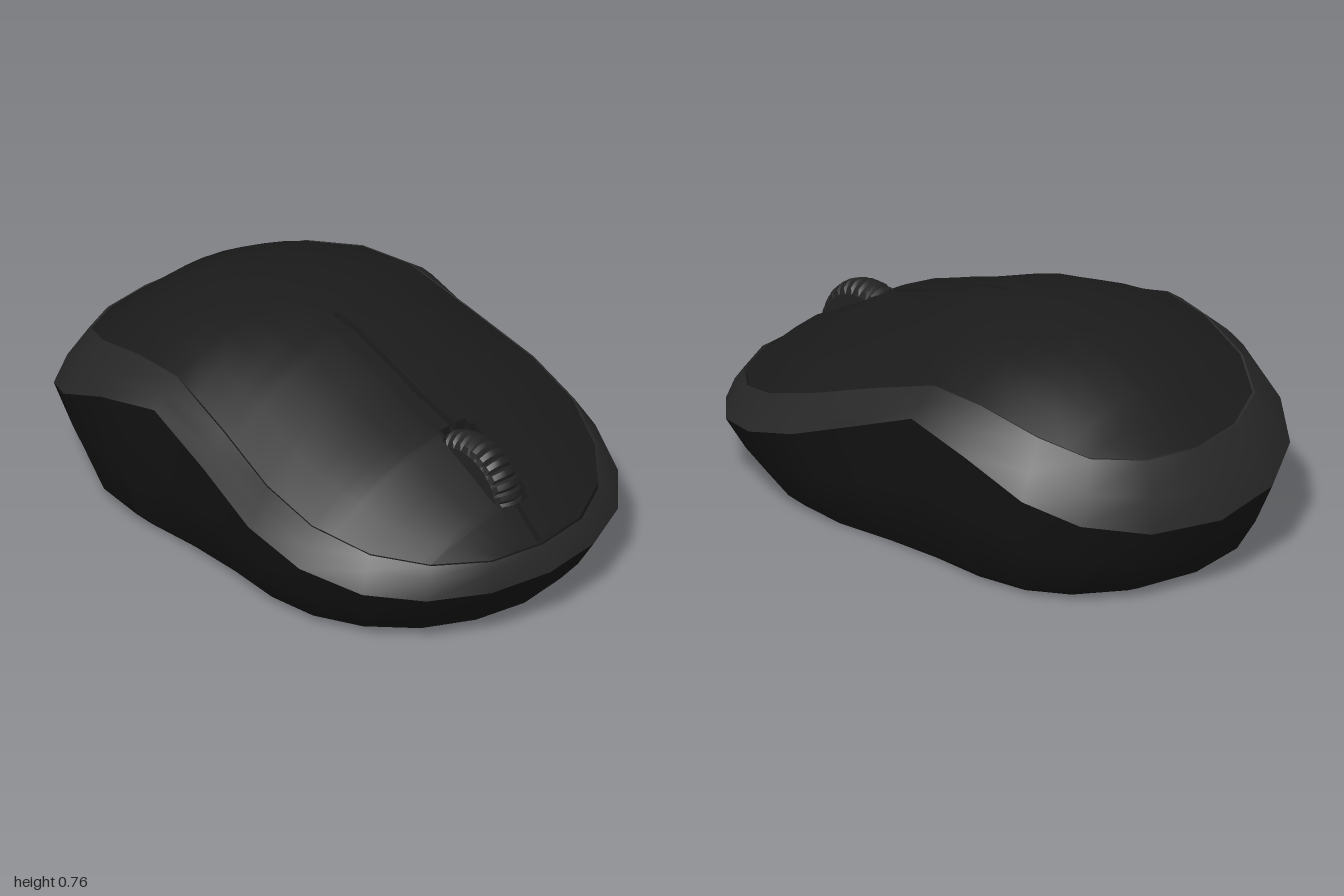
import * as THREE from 'three';
import { toCreasedNormals } from 'three/addons/utils/BufferGeometryUtils.js';

// Half outlines from the front tip to the back tip: [x, y, z]
const OUTER = [[0, .2, 1], [.23, .2, .965], [.43, .21, .87], [.575, .23, .72], [.665, .28, .52],
  [.682, .35, .3], [.645, .45, .05], [.625, .555, -.2], [.625, .5, -.45], [.58, .4, -.67],
  [.47, .33, -.83], [.27, .28, -.955], [0, .26, -1]];
const INNER = [[0, .29, .965], [.2, .295, .94], [.38, .31, .84], [.51, .34, .69], [.59, .4, .5],
  [.6, .47, .3], [.56, .56, .05], [.525, .64, -.2], [.505, .63, -.4], [.46, .575, -.62],
  [.37, .52, -.77], [.2, .49, -.86], [0, .48, -.89]];
// Height of the top along the centre line: [z, y]
const CREST = [[.965, .29], [.84, .4], [.56, .56], [.4, .61], [.27, .66], [.1, .73], [-.1, .765],
  [-.32, .76], [-.52, .73], [-.7, .64], [-.89, .48]];
const INSET = 0.99;

const material = (color, side = THREE.FrontSide) =>
  new THREE.MeshStandardMaterial({ color, roughness: 0.7, side });

// Piecewise linear lookup in a table sorted by falling z
function lookup(table, zi, vi, z) {
  if (z >= table[0][zi]) return table[0][vi];
  for (let i = 1; i < table.length; i++) {
    const a = table[i - 1], b = table[i];
    if (z >= b[zi]) return THREE.MathUtils.lerp(a[vi], b[vi], (a[zi] - z) / (a[zi] - b[zi]));
  }
  return table[table.length - 1][vi];
}

// Skin rows of points; closed rows wrap round
function skin(rows, closed, crease) {
  const n = rows[0].length, index = [];
  for (let i = 0; i < rows.length - 1; i++) {
    for (let j = 0; j < (closed ? n : n - 1); j++) {
      const k = (j + 1) % n;
      const a = i * n + j, b = i * n + k, c = (i + 1) * n + k, d = (i + 1) * n + j;
      index.push(a, b, c, a, c, d);
    }
  }
  const geo = new THREE.BufferGeometry();
  geo.setAttribute('position', new THREE.Float32BufferAttribute(rows.flat(2), 3));
  geo.setIndex(index);
  return toCreasedNormals(geo, crease);
}

// Full ring from a half outline, each point passed through a rule
function ring(half, rule) {
  const right = half.map(rule);
  const left = right.slice(1, -1).reverse().map(([x, y, z]) => [-x, y, z]);
  return [...right, ...left];
}

function add(group, name, geo, mat) {
  const mesh = new THREE.Mesh(geo, mat);
  mesh.name = name;
  group.add(mesh);
  return mesh;
}

// Lower shell with flat underside and chamfered foot
function lowerShell() {
  return skin([
    ring(OUTER, () => [0, 0, 0]),
    ring(OUTER, ([x, , z]) => [x * .765, 0, z * .81]),
    ring(OUTER, ([x, , z]) => [x * .82, .035, z * .88]),
    ring(OUTER, ([x, y, z]) => [x * .91, .035 + (y - .035) * .45, z * .945]),
    ring(OUTER, (p) => p),
  ], true, 0.6);
}

// Sloping side band, ending in a groove under the top panel
function sideBand() {
  const groove = (z) => .022 * THREE.MathUtils.clamp((z + .1) / .2, 0, 1);
  return skin([
    ring(OUTER, (p) => p),
    ring(OUTER, ([x, y, z], i) => {
      const [u, v, w] = INNER[i], s = z < 0 ? 1.015 : 1;
      return [(x + u) / 2 * s, (y + v) / 2 + (z > .7 ? .015 : 0), (z + w) / 2 * s];
    }),
    ring(INNER, (p) => p),
    ring(INNER, ([x, y, z]) => [x * INSET, y - groove(z), z * INSET]),
    ring(INNER, ([x, y, z]) => [x * .93, y - groove(z) - .02, z * .93]),
  ], true, 0.5);
}

// Domed top panel with the button slit and wheel well pressed in
function topPanel() {
  const zs = new Set([...INNER.map((p) => p[2] * INSET), ...CREST.map((p) => p[0] * INSET),
    .948, .944, .841, .836, .816, .811, .574, .569, .548, .543, .003, -.003]);
  const stations = [...zs].sort((a, b) => b - a);
  const fixed = [0, .008, .012, .052, .057, .067, .073];
  const spread = [.25, .5, .75, 1];

  const depth = (x, z) => {
    const wellHalf = z > .5731 && z < .8121 ? .0671 : .0521;
    if (z > .5479 && z < .8361 && x < wellHalf) return .12;
    return z > 0 && z < .945 && x < .0081 ? .03 : 0;
  };

  return skin(stations.map((z) => {
    const w = lookup(INNER, 2, 0, z / INSET) * INSET;
    const edge = lookup(INNER, 2, 1, z / INSET);
    const crest = lookup(CREST, 0, 1, z / INSET);
    const xs = [...fixed.map((x) => Math.min(x, w)),
      ...spread.map((k) => (w > .08 ? THREE.MathUtils.lerp(.08, w, k) : w))];
    const half = xs.map((x) => {
      const t = w > 0 ? x / w : 1;
      return [x, crest - (crest - edge) * t * t - depth(x, z), z];
    });
    half.push([w, edge - .045, z]); // skirt
    const mirrored = half.slice(1).reverse().map(([x, y, zz]) => [-x, y, zz]);
    return [...mirrored, ...half];
  }), false, 0.5);
}

// Barrel-shaped scroll wheel with fine ribs
function scrollWheel() {
  const profile = [[0, -.056], [.165, -.056], [.185, -.047], [.199, -.025], [.204, 0],
    [.199, .025], [.185, .047], [.165, .056], [0, .056]].map(([r, h]) => new THREE.Vector2(r, h));
  const segments = 128;
  const geo = new THREE.LatheGeometry(profile, segments);
  const pos = geo.attributes.position;
  for (let i = 0; i < pos.count; i++) {
    const seg = Math.floor(i / profile.length) % segments;
    const r = Math.hypot(pos.getX(i), pos.getZ(i));
    if (seg % 4 === 0 && r > .17) {
      const s = (r - .011) / r;
      pos.setXYZ(i, pos.getX(i) * s, pos.getY(i), pos.getZ(i) * s);
    }
  }
  geo.rotateZ(Math.PI / 2);
  return toCreasedNormals(geo, 0.4);
}

export function createModel() {
  const mouse = new THREE.Group();
  mouse.name = 'computerMouse';
  add(mouse, 'lowerShell', lowerShell(), material(0x141414));
  add(mouse, 'sideBand', sideBand(), material(0x282828, THREE.DoubleSide));
  add(mouse, 'topPanel', topPanel(), material(0x1b1b1b, THREE.DoubleSide));
  add(mouse, 'scrollWheel', scrollWheel(), material(0x222222)).position.set(0, .36, .64);
  return mouse;
}
